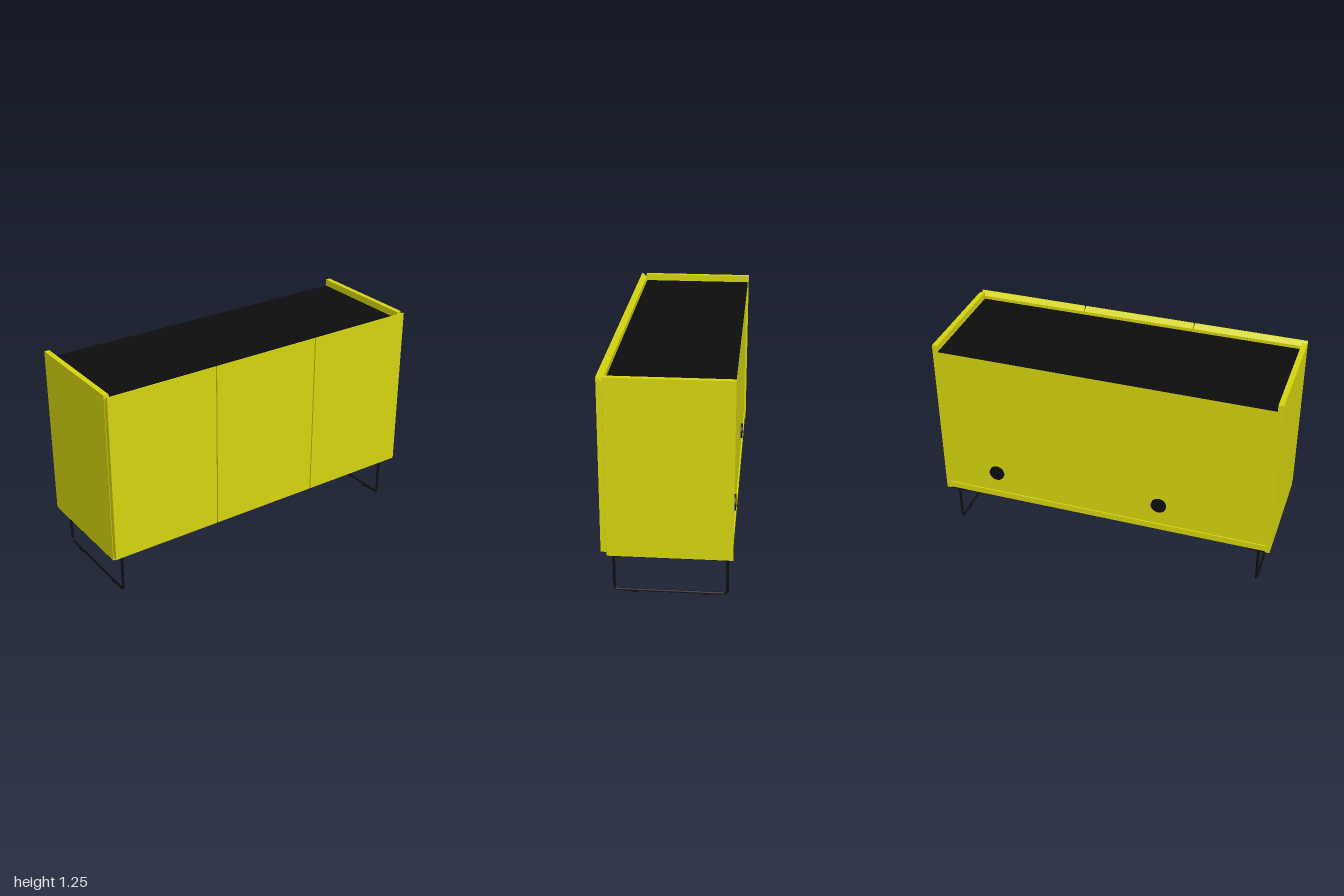
import * as THREE from 'three';

export function createModel() {
  const model = new THREE.Group();
  model.name = 'sideboard';
  const yellow = new THREE.MeshStandardMaterial({ color: 0xd6d60f });
  yellow.name = 'yellow lacquer';
  const black = new THREE.MeshStandardMaterial({ color: 0x0d0d0d });
  black.name = 'black';

  const add = (name, geometry, material, x = 0, y = 0, z = 0) => {
    const mesh = new THREE.Mesh(geometry, material);
    mesh.name = name;
    mesh.position.set(x, y, z);
    model.add(mesh);
    return mesh;
  };
  // Box given by its lower and upper limits on each axis
  const slab = (name, material, [x0, x1], [y0, y1], [z0, z1]) =>
    add(name, new THREE.BoxGeometry(x1 - x0, y1 - y0, z1 - z0), material,
      (x0 + x1) / 2, (y0 + y1) / 2, (z0 + z1) / 2);

  // Cabinet body
  slab('leftSide', yellow, [0.97, 1], [0.25, 1.25], [-0.35, 0.318]);
  slab('rightSide', yellow, [-1, -0.97], [0.25, 1.25], [-0.35, 0.318]);
  slab('topPanel', yellow, [-0.97, 0.97], [1.176, 1.207], [-0.345, 0.314]);
  slab('topInlay', black, [-0.97, 0.97], [1.207, 1.21], [-0.345, 0.314]);
  slab('bottomPanel', yellow, [-0.97, 0.97], [0.253, 0.29], [-0.345, 0.314]);
  slab('backPanel', yellow, [-0.97, 0.97], [0.29, 1.176], [-0.337, -0.325]);
  for (const x of [-0.335, 0.333])
    slab('divider', black, [x - 0.015, x + 0.015], [0.29, 1.176], [-0.325, 0.305]);

  // Doors with a finger-grip bevel along the back of the top edge
  const profile = new THREE.Shape([
    [0.32, 0.27], [0.35, 0.27], [0.35, 1.25], [0.344, 1.25], [0.32, 1.226],
  ].map(([z, y]) => new THREE.Vector2(-z, y)));
  for (const [x0, x1] of [[-0.998, -0.339], [-0.332, 0.329], [0.336, 0.995]]) {
    const geometry = new THREE.ExtrudeGeometry(profile, { depth: x1 - x0, bevelEnabled: false });
    geometry.rotateY(Math.PI / 2).translate(x0, 0, 0);
    // The profile is drawn with -z across, so the turn puts it at +z
    add('door', geometry, yellow);
  }

  // Cable grommets on the back
  for (const x of [-0.338, 0.664]) {
    const disc = new THREE.CylinderGeometry(0.045, 0.045, 0.014, 32).rotateX(Math.PI / 2);
    add('cableGrommet', disc, black, x, 0.425, -0.342);
  }

  // Sled legs: bent rod, mounting plate and floor pads
  const v = (y, z) => new THREE.Vector3(0, y, z);
  const front = 0.29, back = -0.32, low = 0.011, r = 0.022;
  const path = new THREE.CurvePath();
  path.add(new THREE.LineCurve3(v(0.25, front), v(low + r, front)));
  path.add(new THREE.QuadraticBezierCurve3(v(low + r, front), v(low, front), v(low, front - r)));
  path.add(new THREE.LineCurve3(v(low, front - r), v(low, back + r)));
  path.add(new THREE.QuadraticBezierCurve3(v(low, back + r), v(low, back), v(low + r, back)));
  path.add(new THREE.LineCurve3(v(low + r, back), v(0.25, back)));
  for (const s of [-1, 1]) {
    add('sledLeg', new THREE.TubeGeometry(path, 160, 0.007, 10), black, s * 0.932);
    add('legPlate', new THREE.BoxGeometry(0.13, 0.004, 0.667), black, s * 0.934, 0.25, -0.016);
    for (const z of [0.18, -0.21])
      add('floorPad', new THREE.BoxGeometry(0.012, 0.008, 0.04), black, s * 0.932, 0.004, z);
  }

  // Middle support leg
  add('middleLeg', new THREE.CylinderGeometry(0.016, 0.016, 0.25, 24), black, 0.333, 0.125, 0);
  add('middleLegPlate', new THREE.BoxGeometry(0.135, 0.005, 0.135), black, 0.333, 0.2515, 0);

  return model;
}
